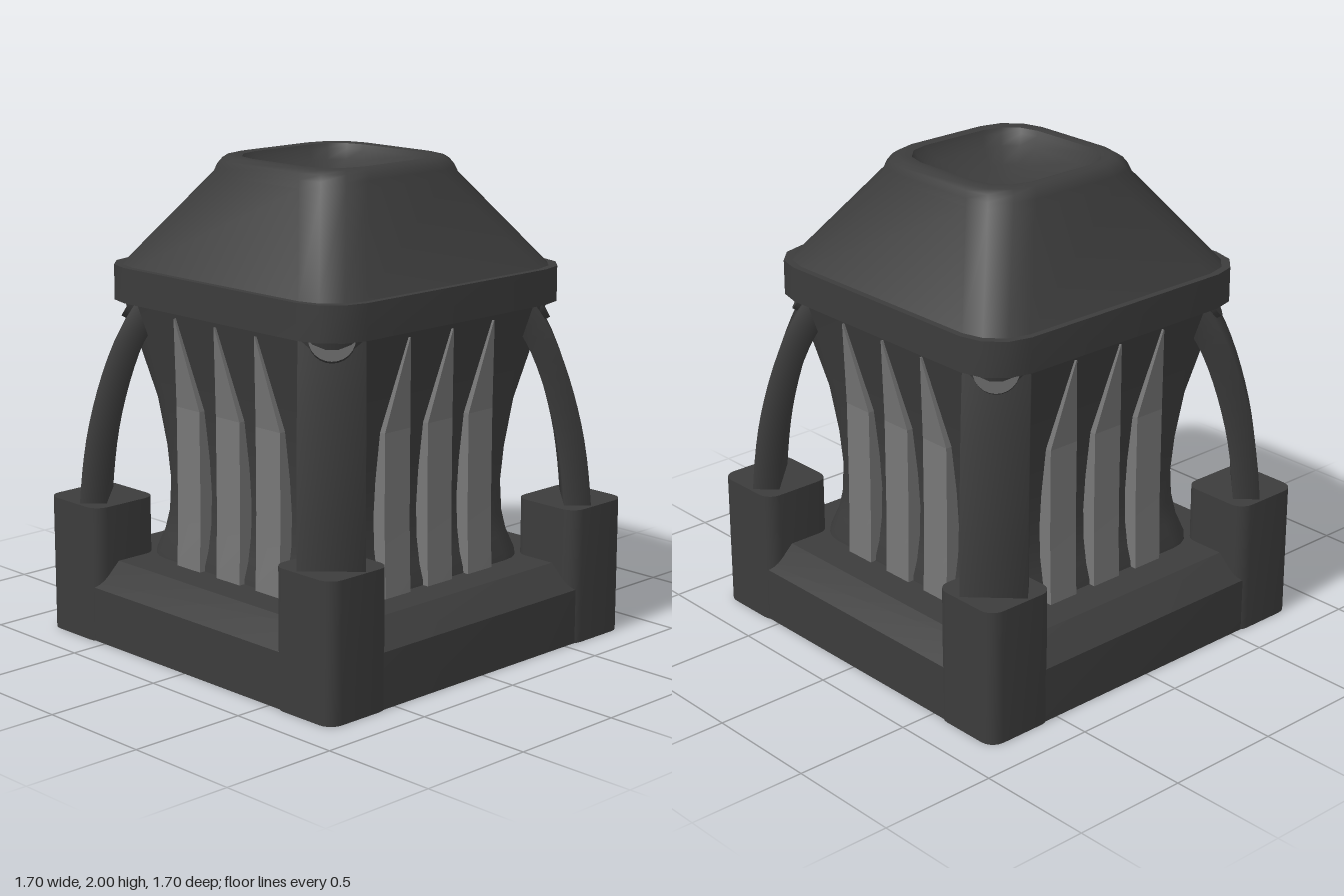
import * as THREE from 'three';
import { toCreasedNormals } from 'three/addons/utils/BufferGeometryUtils.js';

const dark = new THREE.MeshStandardMaterial({ color: 0x3c3c3c, side: THREE.DoubleSide });
const light = new THREE.MeshStandardMaterial({ color: 0x777777 });

// Skin a stack of closed rings (each counter-clockwise seen from above)
function loft(rings, crease = 0.5) {
  const n = rings[0].length, pos = [], idx = [];
  rings.forEach(r => r.forEach(p => pos.push(...p)));
  for (let i = 0; i < rings.length - 1; i++) {
    for (let j = 0; j < n; j++) {
      const k = (j + 1) % n;
      const a = i * n + j, b = i * n + k, c = a + n, d = b + n;
      idx.push(a, b, d, a, d, c);
    }
  }
  const g = new THREE.BufferGeometry();
  g.setAttribute('position', new THREE.Float32BufferAttribute(pos, 3));
  g.setIndex(idx);
  return toCreasedNormals(g, crease);
}

// Horizontal rounded square: half width, height, corner radius
function roundedSquare([h, y, r], segs) {
  const pts = [];
  for (let q = 0; q < 4; q++) {
    const mid = (q + 0.5) * Math.PI / 2;
    const cx = Math.sign(Math.cos(mid)) * (h - r), cz = -Math.sign(Math.sin(mid)) * (h - r);
    for (let i = 0; i <= segs; i++) {
      const t = (q + i / segs) * Math.PI / 2;
      pts.push([cx + r * Math.cos(t), y, cz - r * Math.sin(t)]);
    }
  }
  return pts;
}

const squareLoft = (profile, segs = 5, crease = 0.5) =>
  loft(profile.map(p => roundedSquare(p, segs)), crease);

// Collapse a ring to its centre, to close an end
function centre(ring) {
  const c = [0, 1, 2].map(k => ring.reduce((s, p) => s + p[k], 0) / ring.length);
  return ring.map(() => c);
}
const closed = rings => [centre(rings[0]), ...rings, centre(rings[rings.length - 1])];

// Fin: flat strip, bevelled at the foot and pointed at the top
function finGeometry() {
  const levels = [ // y, half width, front z, back z
    [0.035, 0.07, 0.58, 0.555], [0.08, 0.07, 0.604, 0.555], [0.35, 0.07, 0.602, 0.565],
    [0.52, 0.07, 0.597, 0.538], [0.65, 0.07, 0.595, 0.533], [0.8, 0.07, 0.595, 0.543],
    [1.0, 0.07, 0.595, 0.568], [1.38, 0.002, 0.662, 0.652],
  ];
  const rings = levels.map(([y, w, f, b]) => [[w, y, f], [w, y, b], [-w, y, b], [-w, y, f]]);
  return loft(closed(rings), 0.1);
}

// Curved strut: flat bar bent in the plane x = 0
function strutGeometry() {
  const curve = new THREE.CatmullRomCurve3([
    [0.3, 1.0], [0.57, 0.995], [0.9, 0.95], [1.23, 0.845], [1.45, 0.715],
  ].map(([y, d]) => new THREE.Vector3(0, y, d)));
  const w = 0.13, t = 0.055, rings = [];
  for (let i = 0; i <= 20; i++) {
    const p = curve.getPoint(i / 20), v = curve.getTangent(i / 20);
    const at = (x, s) => [x, p.y - v.z * s, p.z + v.y * s];
    rings.push([at(w, t), at(w, -t), at(-w, -t), at(-w, t)]);
  }
  return loft(rings, 1.8);
}

export function createModel() {
  const model = new THREE.Group();
  const add = (parent, name, geometry, material = dark) => {
    const m = new THREE.Mesh(geometry, material);
    m.name = name;
    parent.add(m);
    return m;
  };

  // Hollow base frame with a sloped shoulder
  add(model, 'baseFrame', squareLoft([
    [0.77, 0, 0.05], [0.84, 0, 0.06], [0.84, 0.23, 0.06], [0.735, 0.33, 0.05],
    [0.56, 0.33, 0.14], [0.56, 0.29, 0.14], [0.72, 0.29, 0.05], [0.77, 0.2, 0.05], [0.77, 0, 0.05],
  ]));

  // Waisted core shell, open underneath
  add(model, 'core', squareLoft([
    [0.58, 0.27, 0.16], [0.575, 0.35, 0.16], [0.55, 0.43, 0.16], [0.535, 0.52, 0.16],
    [0.53, 0.65, 0.16], [0.54, 0.8, 0.16], [0.565, 1.0, 0.16], [0.61, 1.2, 0.16], [0.66, 1.42, 0.16],
  ]));

  // Cap: band, sloped roof, rounded rim and dished opening
  add(model, 'cap', squareLoft([
    [0.55, 1.41, 0.19], [0.695, 1.41, 0.19], [0.695, 1.555, 0.19], [0.667, 1.555, 0.18],
    [0.41, 1.925, 0.19], [0.4, 1.955, 0.19], [0.385, 1.98, 0.19], [0.365, 1.995, 0.18],
    [0.34, 2.0, 0.17], [0.315, 1.995, 0.16], [0.305, 1.975, 0.16], [0.27, 1.935, 0.15],
    [0.19, 1.885, 0.11], [0.1, 1.855, 0.06], [0, 1.845, 0],
  ], 3, 0.65));

  const fin = finGeometry(), strut = strutGeometry();
  const post = squareLoft([[0, 0, 0], [0.16, 0, 0.06], [0.16, 0.57, 0.06], [0, 0.57, 0]]);
  const boss = new THREE.CylinderGeometry(0.09, 0.09, 0.15, 24).rotateX(1.035);

  for (let q = 0; q < 4; q++) {
    // Three fins on each side
    const side = new THREE.Group();
    side.name = 'finRow';
    side.rotation.y = q * Math.PI / 2;
    for (const x of [-0.24, 0, 0.235]) add(side, 'fin', fin, light).position.x = x;
    // Post at each corner
    add(side, 'cornerPost', post).position.set(0.688, 0, 0.688);
    model.add(side);

    // Strut and round boss on each diagonal
    const corner = new THREE.Group();
    corner.name = 'cornerStrut';
    corner.rotation.y = (q + 0.5) * Math.PI / 2;
    add(corner, 'strut', strut);
    add(corner, 'boss', boss).position.set(0, 1.375, 0.765);
    model.add(corner);
  }
  return model;
}
